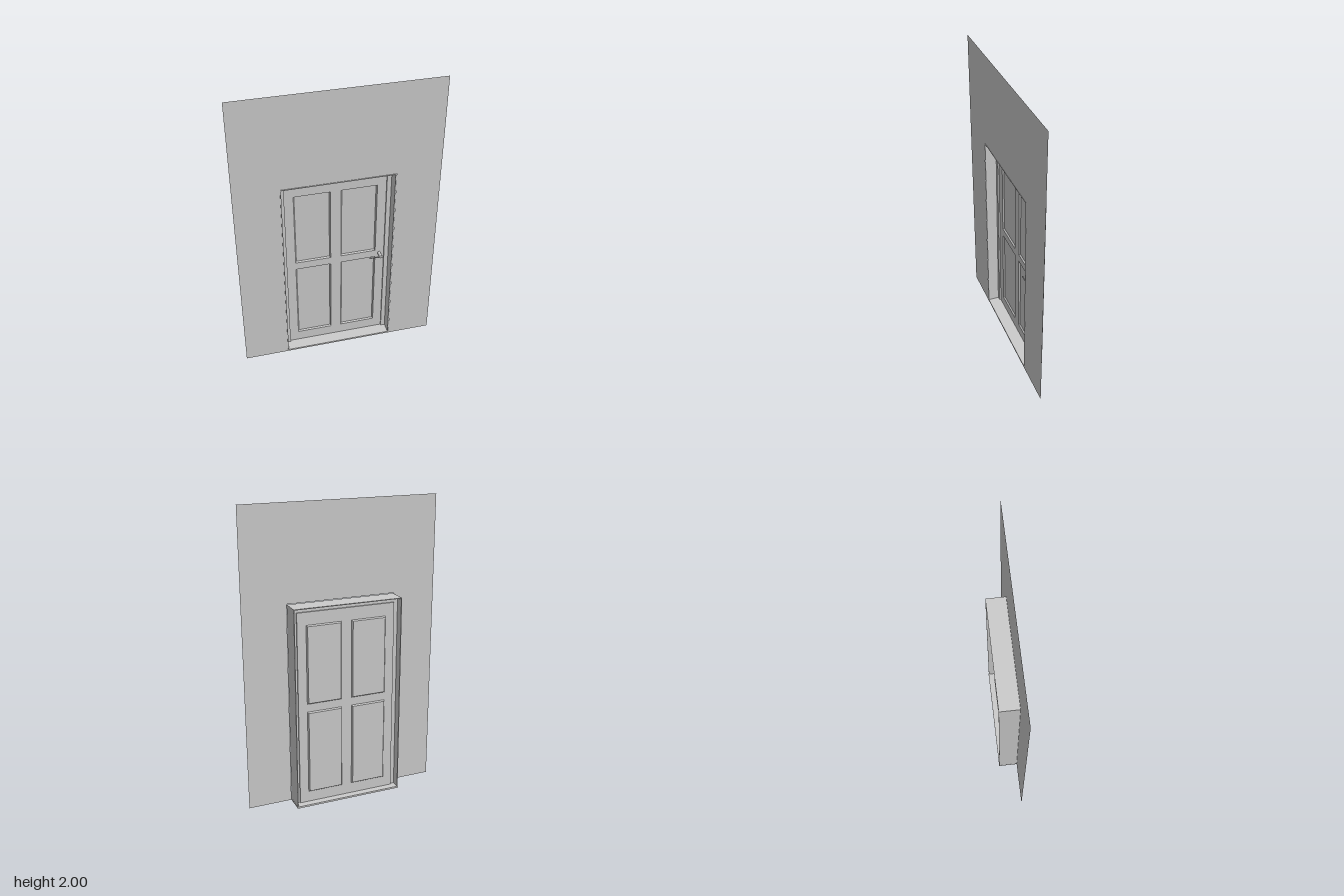
import * as THREE from 'three';

const material = new THREE.MeshStandardMaterial({ color: 0xcccccc, side: THREE.DoubleSide, flatShading: true });
const smooth = new THREE.MeshStandardMaterial({ color: 0xcccccc });

function add(parent, name, geometry, mat = material) {
  const mesh = new THREE.Mesh(geometry, mat);
  mesh.name = name;
  parent.add(mesh);
  return mesh;
}

// Closed rectangle path, used for outlines and holes
function rect(path, x0, x1, y0, y1) {
  path.moveTo(x0, y0);
  path.lineTo(x1, y0);
  path.lineTo(x1, y1);
  path.lineTo(x0, y1);
  path.closePath();
  return path;
}

// Flat sheet with rectangular holes, facing +z at the given depth
function sheet(outline, holes, z) {
  const shape = rect(new THREE.Shape(), ...outline);
  shape.holes = holes.map((h) => rect(new THREE.Path(), ...h));
  return new THREE.ShapeGeometry(shape).translate(0, 0, z);
}

// Shallow pressed tray: sloping rim from zFront to zBack, closed by a floor
function tray([x0, x1, y0, y1], inset, zFront, zBack) {
  const ring = (i, z) => [x0 + i, y0 + i, z, x1 - i, y0 + i, z, x1 - i, y1 - i, z, x0 + i, y1 - i, z];
  const index = [4, 5, 6, 4, 6, 7];
  for (let i = 0; i < 4; i++) {
    const j = (i + 1) % 4;
    index.push(i, j, j + 4, i, j + 4, i + 4);
  }
  const g = new THREE.BufferGeometry();
  g.setAttribute('position', new THREE.Float32BufferAttribute([...ring(0, zFront), ...ring(inset, zBack)], 3));
  g.setIndex(index);
  const flat = g.toNonIndexed();
  flat.computeVertexNormals();
  return flat;
}

function box(x0, x1, y0, y1, z0, z1) {
  return new THREE.BoxGeometry(x1 - x0, y1 - y0, z1 - z0)
    .translate((x0 + x1) / 2, (y0 + y1) / 2, (z0 + z1) / 2);
}

export function createModel() {
  const model = new THREE.Group();
  model.name = 'doorInWall';
  const front = 0.065, back = -0.065;
  const stopZ = -0.01, leafZ = -0.02, panelZ = -0.03;
  const sillTop = 0.012, head = 1.37, half = 0.37;

  // Wall sheet with the doorway cut out
  const wall = rect(new THREE.Shape(), -0.665, 0.665, 0, 2);
  wall.holes.push(rect(new THREE.Path(), -half, half, 0.001, head));
  add(model, 'wall', new THREE.ShapeGeometry(wall).translate(0, 0, front));

  // Deep frame lining: jambs, head and sill
  const frame = new THREE.Group();
  frame.name = 'frame';
  model.add(frame);
  for (const [name, s] of [['rightJamb', -1], ['leftJamb', 1]]) {
    const xs = [s * 0.364, s * 0.369].sort((a, b) => a - b);
    add(frame, name, box(...xs, sillTop, head - 0.003, back, front));
  }
  add(frame, 'head', box(-0.369, 0.369, head - 0.008, head - 0.003, back, front));
  add(frame, 'sill', box(-half, half, 0, sillTop, back - 0.002, front));

  // Stop strip around the leaf
  const leafRect = [-0.335, 0.335, sillTop, 1.33];
  const stop = rect(new THREE.Shape(), -0.366, 0.366, 0.005, head - 0.005);
  stop.holes.push(rect(new THREE.Path(), ...leafRect));
  add(frame, 'stop', new THREE.ShapeGeometry(stop).translate(0, 0, stopZ));
  const [lx0, lx1, ly0, ly1] = leafRect;
  for (const x of [lx0, lx1]) add(frame, 'stopEdge', new THREE.PlaneGeometry(stopZ - leafZ, ly1 - ly0)
    .rotateY(-Math.sign(x) * Math.PI / 2).translate(x, (ly0 + ly1) / 2, (stopZ + leafZ) / 2));
  add(frame, 'stopEdge', new THREE.PlaneGeometry(lx1 - lx0, stopZ - leafZ)
    .rotateX(Math.PI / 2).translate(0, ly1, (stopZ + leafZ) / 2));

  // Door leaf with four pressed panels
  const door = new THREE.Group();
  door.name = 'door';
  model.add(door);
  const panels = [];
  for (const [x0, x1] of [[-0.275, -0.035], [0.035, 0.275]])
    for (const [y0, y1] of [[0.085, 0.66], [0.715, 1.245]]) panels.push([x0, x1, y0, y1]);
  add(door, 'leaf', sheet(leafRect, panels, leafZ));
  for (const p of panels) add(door, 'panel', tray(p, 0.007, leafZ, panelZ));

  // Lever handle: spindle and a grip that tapers, then swells at its tip
  const handle = new THREE.Group();
  handle.name = 'handle';
  handle.position.set(0.302, 0.69, leafZ);
  door.add(handle);
  add(handle, 'spindle', new THREE.CylinderGeometry(0.011, 0.011, 0.05, 20).rotateX(Math.PI / 2).translate(0, 0, 0.025), smooth);
  const profile = [[0, 0.012], [0.01, 0.012], [0.009, 0], [0.005, -0.02], [0.004, -0.045], [0.006, -0.075], [0, -0.08]]
    .reverse().map(([r, y]) => new THREE.Vector2(r, y));
  add(handle, 'grip', new THREE.LatheGeometry(profile, 16).rotateZ(-Math.PI / 2)
    .scale(1, 1, 0.7).translate(0, 0, 0.046), smooth);

  return model;
}
